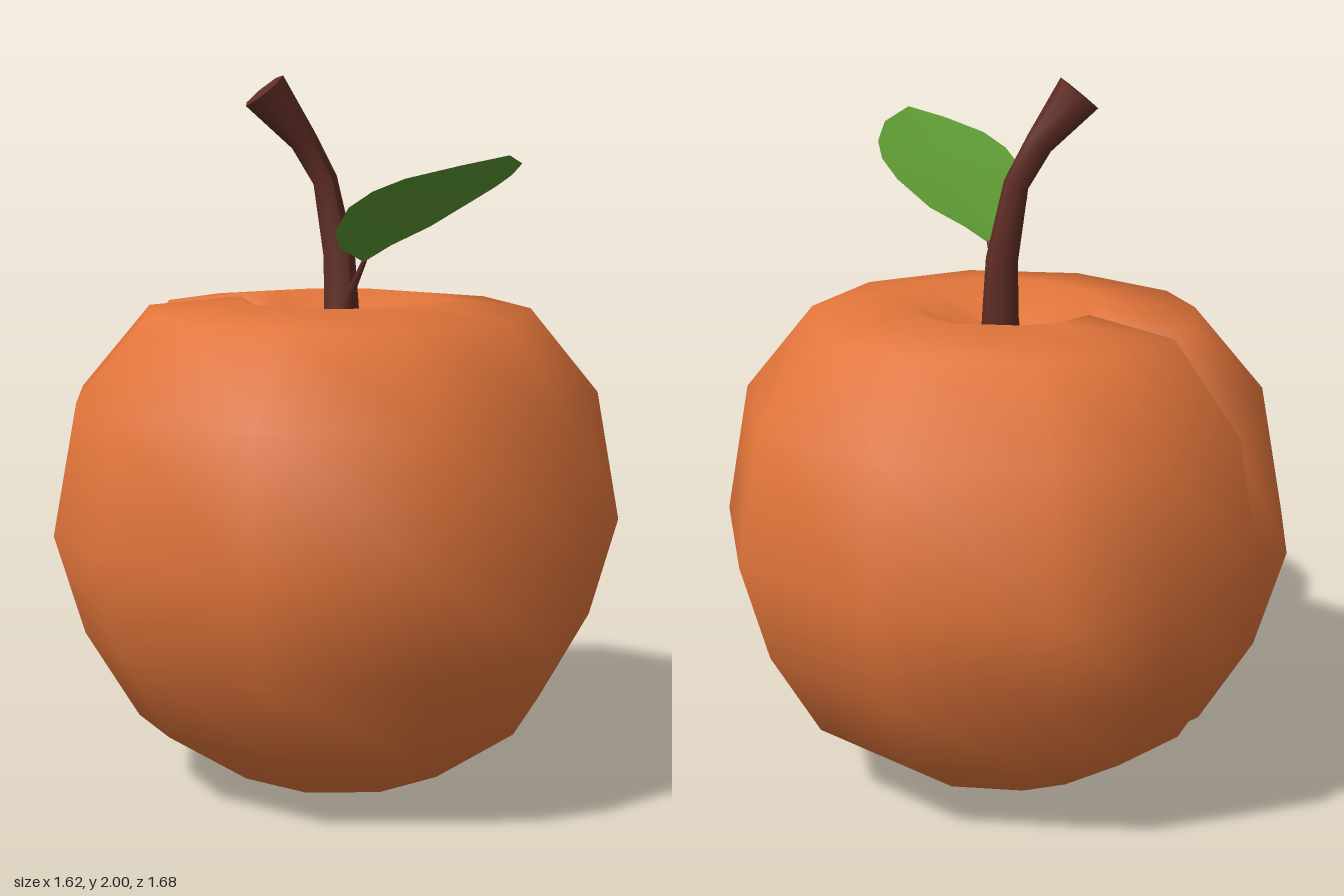
import * as THREE from 'three';

const skin = new THREE.MeshStandardMaterial({ color: 0xe2753b });
skin.name = 'orange skin';
const bark = new THREE.MeshStandardMaterial({ color: 0x602d24 });
bark.name = 'brown bark';
const green = new THREE.MeshStandardMaterial({ color: 0x5f9c34, side: THREE.DoubleSide });
green.name = 'leaf green';

function indexed(vertices, faces) {
  const g = new THREE.BufferGeometry();
  g.setAttribute('position', new THREE.Float32BufferAttribute(vertices, 3));
  g.setIndex(faces);
  g.computeVertexNormals();
  return g;
}

// Fruit: one plan outline scaled up and down, open at the groove so it stays a sharp crease
function fruitGeometry() {
  const plan = [
    [-0.43, -0.64], [-0.38, -0.74], [-0.05, -0.84], [0.25, -0.78], [0.65, -0.49],
    [0.81, -0.02], [0.65, 0.46], [0.25, 0.75], [-0.25, 0.75], [-0.65, 0.46],
    [-0.81, -0.02], [-0.75, -0.33], [-0.55, -0.63], [-0.43, -0.64],
  ];
  // height, scale of the plan, vertical shift of the groove
  const rings = [
    [1.29, 0.15, -0.02], [1.38, 0.35, -0.07], [1.35, 0.67, -0.09], [1.11, 0.915, -0.03],
    [0.74, 1, 0], [0.46, 0.9, 0.01], [0.21, 0.72, 0.03], [0.04, 0.41, 0.06], [0, 0.18, 0.04],
  ];
  const n = plan.length;
  const v = [];
  const f = [];
  for (const [y, s, shift] of rings) {
    plan.forEach(([x, z], j) => {
      const groove = j === 0 || j === n - 1;
      v.push(x * s, y + (groove ? shift : 0), z * s);
    });
  }
  const top = rings.length * n;
  const bottom = top + 1;
  v.push(0, 1.21, -0.02, 0, 0.015, 0);
  const last = (rings.length - 1) * n;
  for (let j = 0; j < n - 1; j++) {
    f.push(top, j + 1, j, last + j, last + j + 1, bottom);
    for (let i = 0; i < rings.length - 1; i++) {
      const a = i * n + j;
      f.push(a, a + 1, a + n, a + 1, a + n + 1, a + n);
    }
  }
  return indexed(v, f);
}

// Tapered stalk: a capped cylinder bent along stations of [x, y, z, radius]
function stalkGeometry(stations, sides) {
  const n = stations.length - 1;
  const curve = new THREE.CatmullRomCurve3(stations.map((s) => new THREE.Vector3(s[0], s[1], s[2])));
  const g = new THREE.CylinderGeometry(1, 1, 1, sides, n);
  const p = g.attributes.position;
  const up = new THREE.Vector3(0, 1, 0);
  const q = new THREE.Quaternion();
  const o = new THREE.Vector3();
  for (let i = 0; i < p.count; i++) {
    const k = Math.round((p.getY(i) + 0.5) * n);
    q.setFromUnitVectors(up, curve.getTangent(k / n));
    o.set(p.getX(i), 0, p.getZ(i)).multiplyScalar(stations[k][3]).applyQuaternion(q);
    o.add(curve.getPoint(k / n));
    p.setXYZ(i, o.x, o.y, o.z);
  }
  g.computeVertexNormals();
  return g;
}

// Leaf: a curved sheet of rows [z, y, left edge x, right edge x], slightly cupped
function leafGeometry() {
  const rows = [
    [0.19, 1.5, -0.072, -0.068], [0.24, 1.545, -0.19, -0.015], [0.31, 1.595, -0.26, 0.06],
    [0.42, 1.665, -0.3, 0.11], [0.52, 1.71, -0.302, 0.11], [0.62, 1.745, -0.28, 0.075],
    [0.75, 1.78, -0.21, -0.01], [0.84, 1.805, -0.137, -0.133],
  ];
  const v = [];
  const f = [];
  rows.forEach(([z, y, l, r], i) => {
    v.push(l, y, z, (l + r) / 2, y - 0.04 * (r - l), z, r, y, z);
    if (i === 0) return;
    for (let j = 0; j < 2; j++) {
      const a = (i - 1) * 3 + j;
      f.push(a, a + 3, a + 1, a + 1, a + 3, a + 4);
    }
  });
  return indexed(v, f);
}

export function createModel() {
  const model = new THREE.Group();
  model.name = 'fruit';
  const add = (name, geometry, material) => {
    const mesh = new THREE.Mesh(geometry, material);
    mesh.name = name;
    model.add(mesh);
  };

  add('fruitBody', fruitGeometry(), skin);
  add('stem', stalkGeometry([
    [0, 1.18, -0.01, 0.065], [0.005, 1.34, -0.01, 0.052], [0.005, 1.5, -0.02, 0.046],
    [-0.025, 1.71, -0.045, 0.036], [-0.085, 1.82, -0.065, 0.04], [-0.185, 1.955, -0.11, 0.068],
  ], 7), bark);
  add('leafStalk', stalkGeometry([
    [0, 1.22, 0.02, 0.024], [-0.025, 1.34, 0.06, 0.018],
    [-0.05, 1.42, 0.115, 0.012], [-0.07, 1.505, 0.195, 0.007],
  ], 5), bark);
  add('leaf', leafGeometry(), green);
  return model;
}
